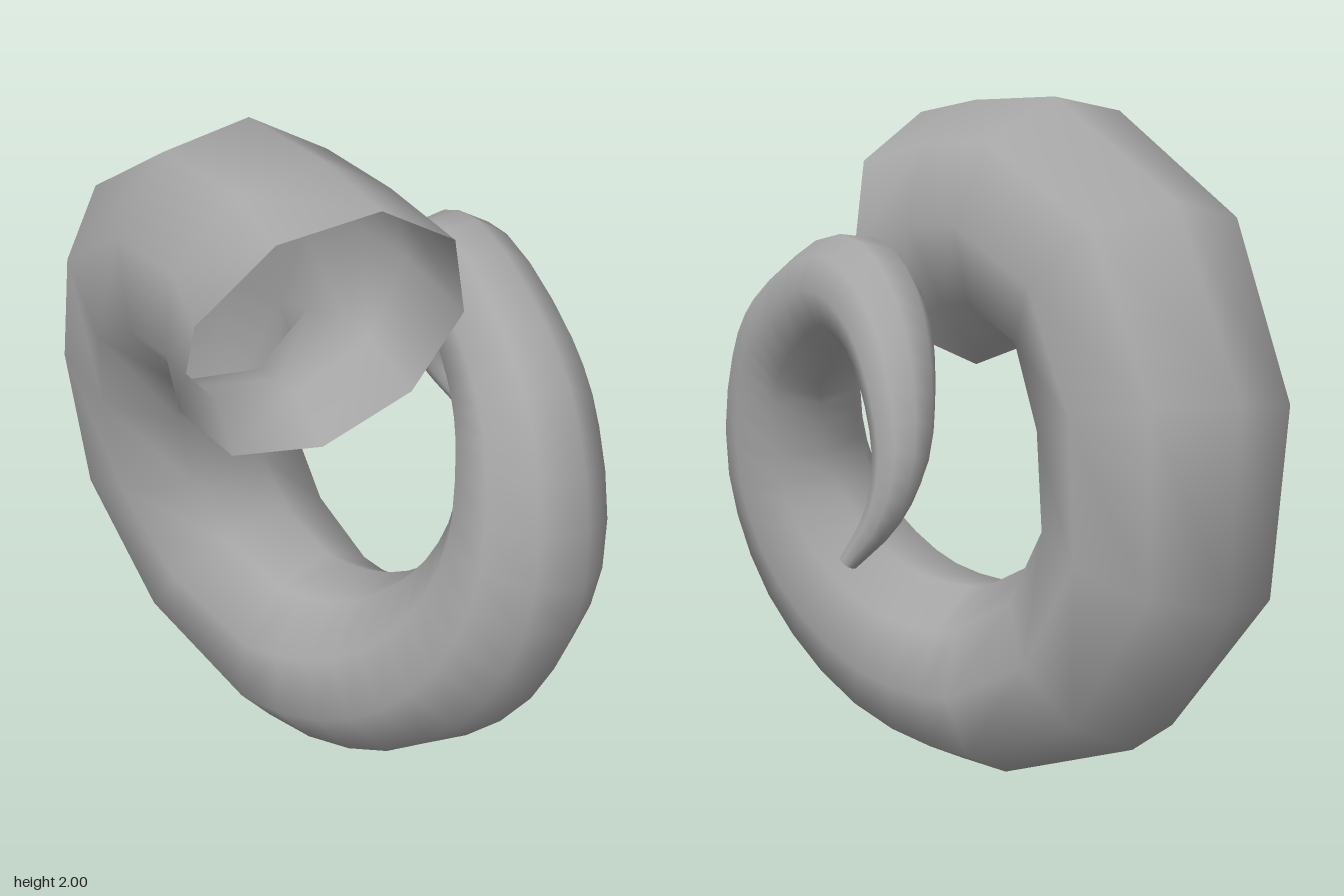
import * as THREE from 'three';

// Centre line from the open mouth to the tip: x, y, z, radius
const PATH = [
  [-0.312, 1.55, 0.458, 0.405], [-0.292, 1.622, 0.25, 0.362], [-0.295, 1.635, 0.035, 0.367],
  [-0.235, 1.465, -0.345, 0.352], [-0.17, 1.13, -0.545, 0.345], [-0.135, 0.74, -0.56, 0.325],
  [-0.085, 0.43, -0.37, 0.305], [-0.04, 0.285, -0.04, 0.285], [0.05, 0.34, 0.31, 0.263],
  [0.135, 0.57, 0.575, 0.243], [0.195, 0.86, 0.68, 0.22], [0.25, 1.18, 0.607, 0.193],
  [0.295, 1.33, 0.473, 0.177], [0.38, 1.48, 0.15, 0.15], [0.45, 1.425, -0.07, 0.125],
  [0.525, 1.29, -0.23, 0.10], [0.585, 1.10, -0.317, 0.075], [0.635, 0.95, -0.305, 0.05],
  [0.69, 0.81, -0.22, 0.025],
];
const SIDES = 9;
const TWIST = 0.17; // turns the ring corners off the outer ridge
const COARSE = 7; // the wide end has one ring per point, the narrow end more

export function createModel() {
  const group = new THREE.Group();
  group.name = 'spiralHorn';
  const hornGrey = new THREE.MeshStandardMaterial({ color: 0xa6a6a6, side: THREE.DoubleSide });
  hornGrey.name = 'hornGrey';

  const last = PATH.length - 1;
  const curve = new THREE.CatmullRomCurve3(PATH.map(([x, y, z]) => new THREE.Vector3(x, y, z)));

  // Ring positions measured in path points
  const stops = [];
  for (let i = 0; i < last; i++) {
    stops.push(i);
    if (i >= COARSE) stops.push(i + 1 / 3, i + 2 / 3);
  }
  stops.push(last);

  // Horn wall
  const positions = [];
  const indices = [];
  const rings = stops.map((s) => {
    const i = Math.min(Math.floor(s), last - 1);
    const radius = 1.02 * THREE.MathUtils.lerp(PATH[i][3], PATH[i + 1][3], s - i);
    const centre = curve.getPoint(s / last);
    const tangent = curve.getTangent(s / last);
    const side = new THREE.Vector3(1, 0, 0);
    side.addScaledVector(tangent, -side.dot(tangent)).normalize();
    const out = new THREE.Vector3().crossVectors(side, tangent);
    return Array.from({ length: SIDES }, (_, k) => {
      const a = (k / SIDES) * Math.PI * 2 + TWIST;
      return centre.clone()
        .addScaledVector(out, radius * Math.cos(a))
        .addScaledVector(side, radius * 1.02 * Math.sin(a));
    });
  });
  rings.forEach((ring, i) => {
    ring.forEach((p, k) => {
      positions.push(p.x, p.y, p.z);
      if (i === rings.length - 1) return;
      const a = i * SIDES + k;
      const b = i * SIDES + ((k + 1) % SIDES);
      indices.push(a, b, a + SIDES, b, b + SIDES, a + SIDES);
    });
  });
  const wall = new THREE.BufferGeometry();
  wall.setAttribute('position', new THREE.Float32BufferAttribute(positions, 3));
  wall.setIndex(indices);
  wall.computeVertexNormals();
  const horn = new THREE.Mesh(wall, hornGrey);
  horn.name = 'hornWall';
  group.add(horn);

  // Flat end of the tip
  const tip = new THREE.Mesh(new THREE.CircleGeometry(PATH[last][3], SIDES), hornGrey);
  tip.name = 'tipCap';
  tip.position.copy(curve.getPoint(1));
  tip.lookAt(curve.getPoint(1).add(curve.getTangent(1)));
  group.add(tip);

  return group;
}
